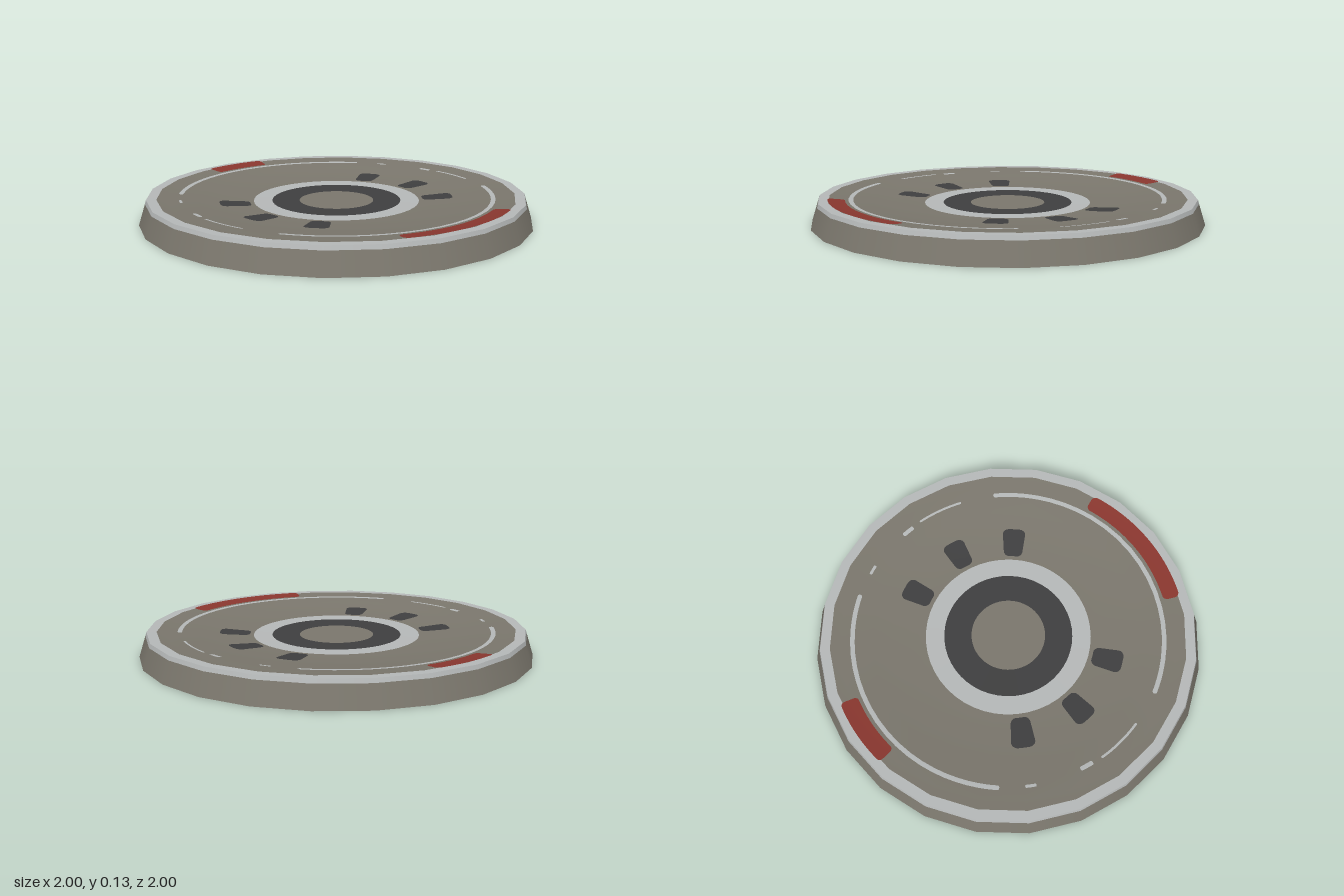
import * as THREE from 'three';

const SIDES = 24;
const mat = (name, color) => {
  const m = new THREE.MeshStandardMaterial({ color });
  m.name = name;
  return m;
};

export function createModel() {
  const group = new THREE.Group();
  const shell = mat('warm grey', 0x7b776d);
  const light = mat('light grey', 0xb6b9b9);
  const dark = mat('charcoal', 0x3f3f40);
  const red = mat('dull red', 0x8a372f);

  const add = (name, geometry, material) => {
    const mesh = new THREE.Mesh(geometry, material);
    mesh.name = name;
    group.add(mesh);
  };
  const lathe = (name, pts, material, sides = SIDES) =>
    add(name, new THREE.LatheGeometry(pts.map(p => new THREE.Vector2(...p)), sides), material);

  // Dish cross-section, [radius, height] from the rim inward
  const dish = [[0.91, 0.125], [0.86, 0.119], [0.79, 0.114], [0.7, 0.102],
    [0.6, 0.092], [0.5, 0.085], [0.42, 0.081], [0.19, 0.077], [0, 0.077]];
  const dishHeight = r => {
    for (let i = 1; i < dish.length; i++) {
      const [r0, y0] = dish[i - 1], [r1, y1] = dish[i];
      if (r >= r1) return y1 + (y0 - y1) * (r - r1) / (r0 - r1);
    }
    return dish[dish.length - 1][1];
  };

  // Thin rounded patch following the dish; angle runs from +z towards +x
  const patch = (name, angle, halfAngle, rIn, rOut, corner, material) => {
    const geo = new THREE.PlaneGeometry(2, 2, 28, 4);
    const pos = geo.attributes.position;
    const rMid = (rIn + rOut) / 2, halfR = (rOut - rIn) / 2;
    for (let i = 0; i < pos.count; i++) {
      const u = Math.sin(pos.getX(i) * Math.PI / 2);
      const fromEnd = Math.min(corner, (1 - Math.abs(u)) * halfAngle * rMid);
      const half = halfR - corner + Math.sqrt(corner ** 2 - (corner - fromEnd) ** 2);
      const r = rMid + pos.getY(i) * half;
      const a = angle - u * halfAngle;
      pos.setXYZ(i, Math.sin(a) * r, dishHeight(r) + 0.003, Math.cos(a) * r);
    }
    geo.computeVertexNormals();
    add(name, geo, material);
  };
  const deg = THREE.MathUtils.degToRad;

  // Body
  lathe('base', [[0, 0], [1, 0]], shell);
  lathe('outerWall', [[1, 0], [0.966, 0.106]], shell);
  lathe('dish', dish, shell);

  // Light rim wrapping over the top edge
  lathe('rimSide', [[0.966, 0.106], [0.96, 0.126]], light);
  lathe('rimTop', [[0.96, 0.126], [0.91, 0.125]], light);

  // Centre rings
  lathe('lightRing', [[0.425, 0.084], [0.33, 0.083]], light, 48);
  lathe('darkRing', [[0.33, 0.083], [0.19, 0.08]], dark, 48);

  // Red markers at front and back
  patch('frontMarker', 0, deg(23.5), 0.825, 0.91, 0.025, red);
  patch('backMarker', Math.PI, deg(11.3), 0.825, 0.915, 0.02, red);

  // Broken light line around the dish
  patch('frontLine', 0, deg(60), 0.785, 0.808, 0.008, light);
  patch('backLine', Math.PI, deg(51), 0.785, 0.808, 0.008, light);

  for (const s of [1, -1]) {
    patch('sideLineFront', s * deg(82), deg(9), 0.785, 0.797, 0.005, light);
    patch('sideLineBack', s * deg(97), deg(2.5), 0.775, 0.797, 0.008, light);
    patch('lineDash', s * deg(118), deg(2), 0.785, 0.8, 0.006, light);
    // Dark pads fanned around the centre
    for (const a of [51, 84.5, 118.5])
      patch('pad', s * deg(a), deg(6), 0.445, 0.6, 0.03, dark);
  }
  return group;
}
